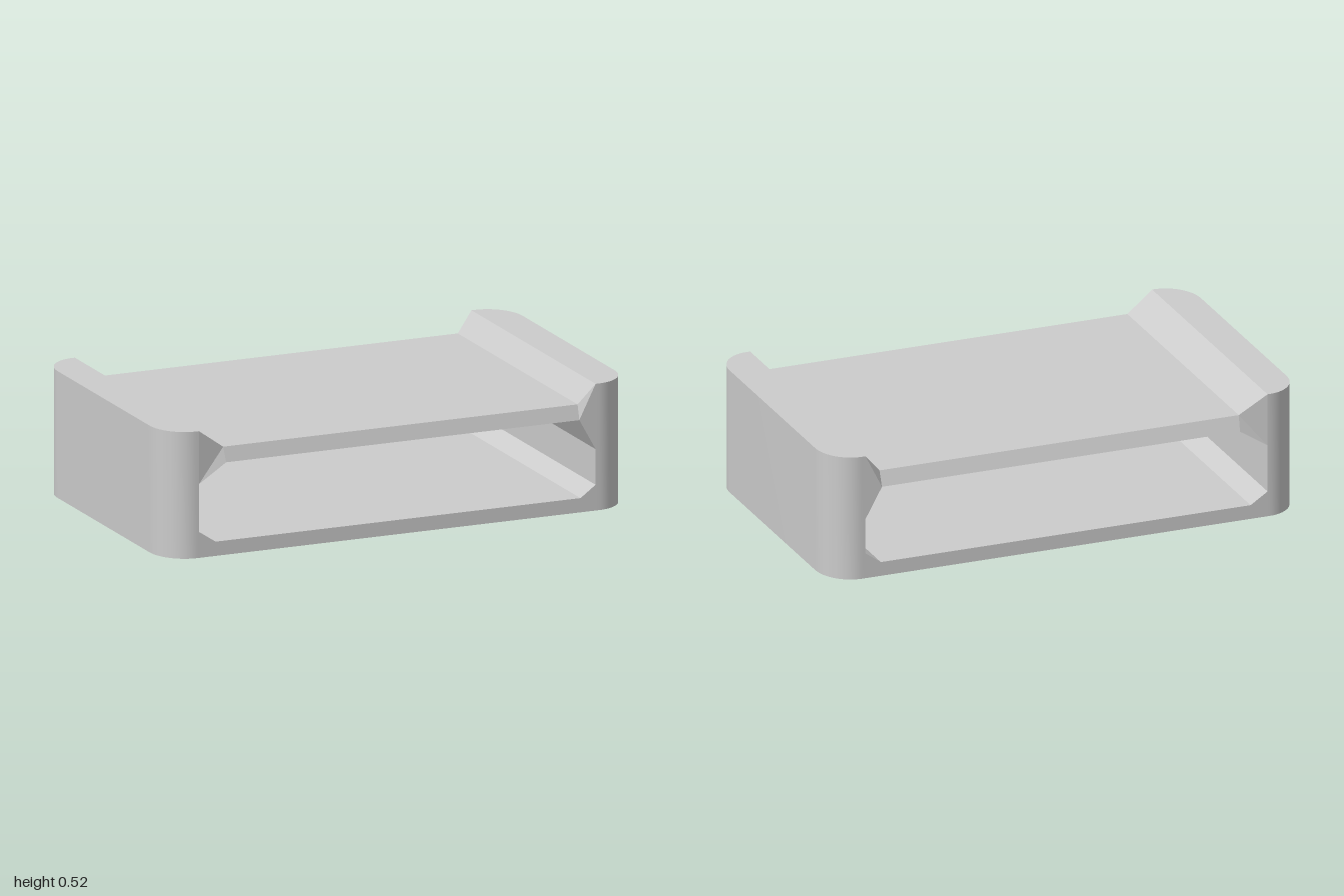
import * as THREE from 'three';
import { toCreasedNormals } from 'three/addons/utils/BufferGeometryUtils.js';

const HALF_DEPTH = 0.595;
const HEIGHT = 0.516;

function polygon(points) {
  return new THREE.Shape(points.map(([x, y]) => new THREE.Vector2(x, y)));
}

// Profile in x, y drawn through the full depth
function extrudeDepth(points) {
  const geo = new THREE.ExtrudeGeometry(polygon(points), { depth: 2 * HALF_DEPTH, bevelEnabled: false });
  return geo.translate(0, 0, -HALF_DEPTH);
}

// End block with rounded outer corners, drawn for the +x end
function endBlock(inner) {
  const rx = 0.135, rz = 0.155;
  const s = new THREE.Shape();
  s.moveTo(inner, -HALF_DEPTH);
  s.lineTo(1 - rx, -HALF_DEPTH);
  s.absellipse(1 - rx, -HALF_DEPTH + rz, rx, rz, -Math.PI / 2, 0, false, 0);
  s.lineTo(1, HALF_DEPTH - rz);
  s.absellipse(1 - rx, HALF_DEPTH - rz, rx, rz, 0, Math.PI / 2, false, 0);
  s.lineTo(inner, HALF_DEPTH);
  s.closePath();
  const geo = new THREE.ExtrudeGeometry(s, { depth: HEIGHT, bevelEnabled: false, curveSegments: 10 });
  return toCreasedNormals(geo.rotateX(-Math.PI / 2), 0.6);
}

export function createModel() {
  const group = new THREE.Group();
  const material = new THREE.MeshStandardMaterial({ color: 0xcccccc });
  const add = (name, geometry) => {
    const mesh = new THREE.Mesh(geometry, material);
    mesh.name = name;
    group.add(mesh);
    return mesh;
  };

  // Solid ends
  add('leftEnd', endBlock(0.85));
  add('rightEnd', endBlock(0.857)).rotation.y = Math.PI;

  // Raised deck with sloped shoulders and braces under its ends
  const deck = extrudeDepth([
    [-0.857, 0.3], [-0.74, 0.376], [0.78, 0.376], [0.85, 0.25],
    [0.85, HEIGHT], [0.78, 0.436], [-0.745, 0.436], [-0.857, HEIGHT],
  ]);
  // The top edge of the deck leans slightly inwards
  const pos = deck.attributes.position;
  for (let i = 0; i < pos.count; i++) {
    if (Math.abs(pos.getX(i)) < 0.8 && pos.getY(i) > 0.4) {
      pos.setZ(i, pos.getZ(i) > 0 ? 0.578 : -0.57);
    }
  }
  add('deck', toCreasedNormals(deck, 0.05));

  // Floor plate with chamfered inner corners
  add('floor', extrudeDepth([
    [-0.857, 0], [0.85, 0], [0.85, 0.105], [0.785, 0.058], [-0.785, 0.058], [-0.857, 0.105],
  ]));

  return group;
}
